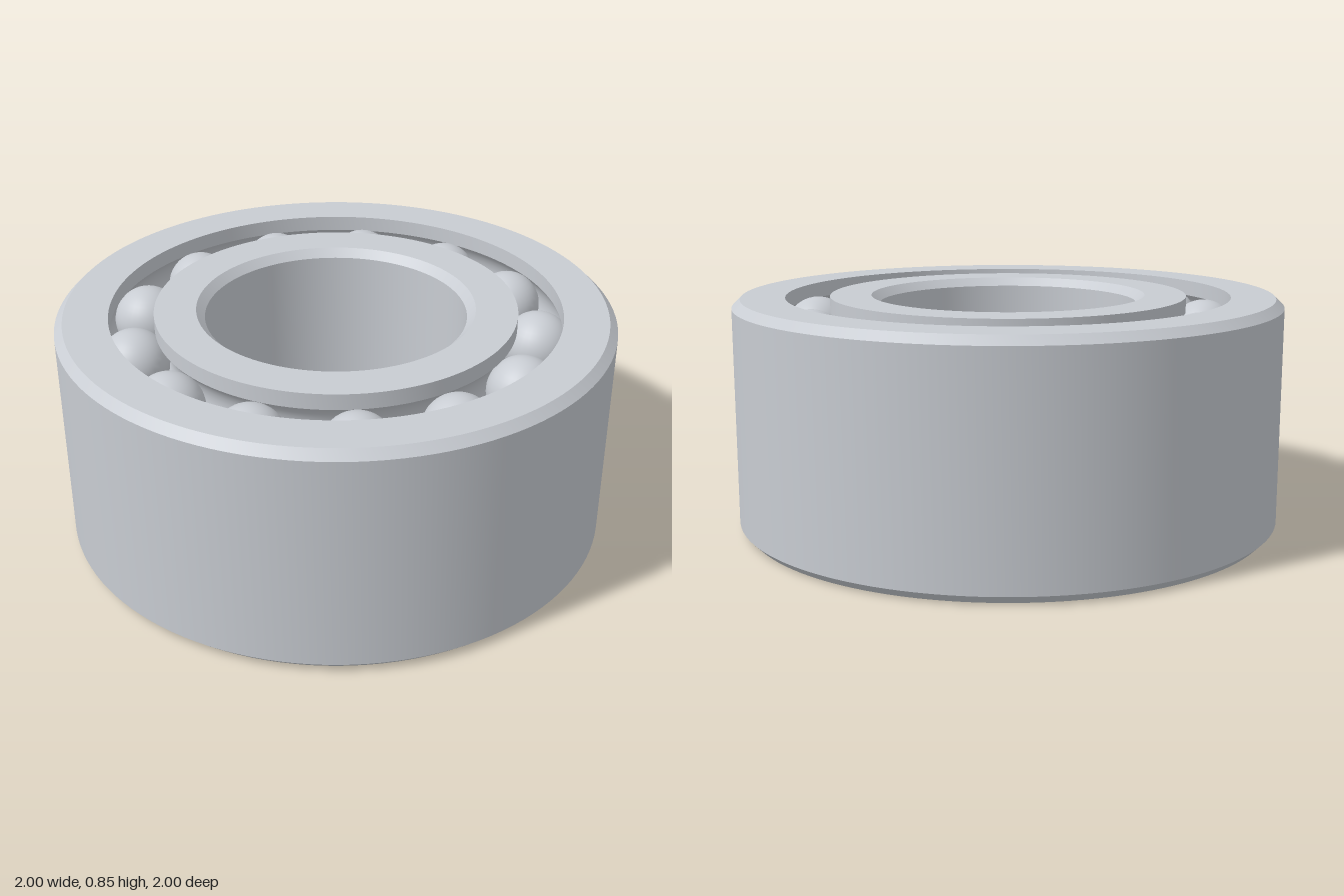
import * as THREE from 'three';
import { toCreasedNormals } from 'three/addons/utils/BufferGeometryUtils.js';

const H = 0.845;          // overall height
const CHAMFER = 0.03;
const OUTER = 1, BORE = 0.47;
const OUTER_LIP = 0.81, INNER_LIP = 0.65;
const PITCH = 0.73;       // radius of the ball circle
const BALL = 0.125;
const BALLS = 13;
const ROWS = [0.155, H - 0.155]; // heights of the two ball rows

export function createModel() {
  const steel = new THREE.MeshStandardMaterial({ color: 0xc8ccd2 });
  steel.name = 'steel';
  const model = new THREE.Group();
  model.name = 'ballBearing';

  // Arc-shaped ball track; side +1 cuts into the outer ring, -1 into the inner ring
  const groove = (y, side) => {
    const lip = side > 0 ? OUTER_LIP : INNER_LIP;
    const r = BALL + 0.001;
    const half = Math.acos(Math.abs(lip - PITCH) / r);
    const points = [];
    for (let i = 0; i <= 10; i++) {
      const t = half * (i / 5 - 1);
      points.push([PITCH + side * r * Math.cos(t), y - side * r * Math.sin(t)]);
    }
    return points;
  };

  // Closed ring from a profile of [radius, height], counter-clockwise
  const ring = (name, profile) => {
    const points = [...profile, profile[0]].map(([r, y]) => new THREE.Vector2(r, y));
    const geometry = toCreasedNormals(new THREE.LatheGeometry(points, 128), 0.45);
    const mesh = new THREE.Mesh(geometry, steel);
    mesh.name = name;
    model.add(mesh);
  };

  // Outer ring: chamfered outside, two tracks inside
  ring('outerRing', [
    [OUTER_LIP, 0],
    [OUTER - CHAMFER, 0],
    [OUTER, CHAMFER],
    [OUTER, H - CHAMFER],
    [OUTER - CHAMFER, H],
    [OUTER_LIP, H],
    ...groove(ROWS[1], 1),
    ...groove(ROWS[0], 1),
  ]);

  // Inner ring: two tracks outside, chamfered bore
  ring('innerRing', [
    [BORE + CHAMFER, 0],
    [INNER_LIP, 0],
    ...groove(ROWS[0], -1),
    ...groove(ROWS[1], -1),
    [INNER_LIP, H],
    [BORE + CHAMFER, H],
    [BORE, H - CHAMFER],
    [BORE, CHAMFER],
  ]);

  // Two aligned rows of balls
  const ballGeometry = new THREE.SphereGeometry(BALL, 32, 20);
  ROWS.forEach((y, row) => {
    const group = new THREE.Group();
    group.name = row ? 'upperBalls' : 'lowerBalls';
    for (let i = 0; i < BALLS; i++) {
      const a = (i / BALLS) * Math.PI * 2;
      const ball = new THREE.Mesh(ballGeometry, steel);
      ball.name = 'ball';
      ball.position.set(PITCH * Math.cos(a), y, PITCH * Math.sin(a));
      group.add(ball);
    }
    model.add(group);
  });

  return model;
}
